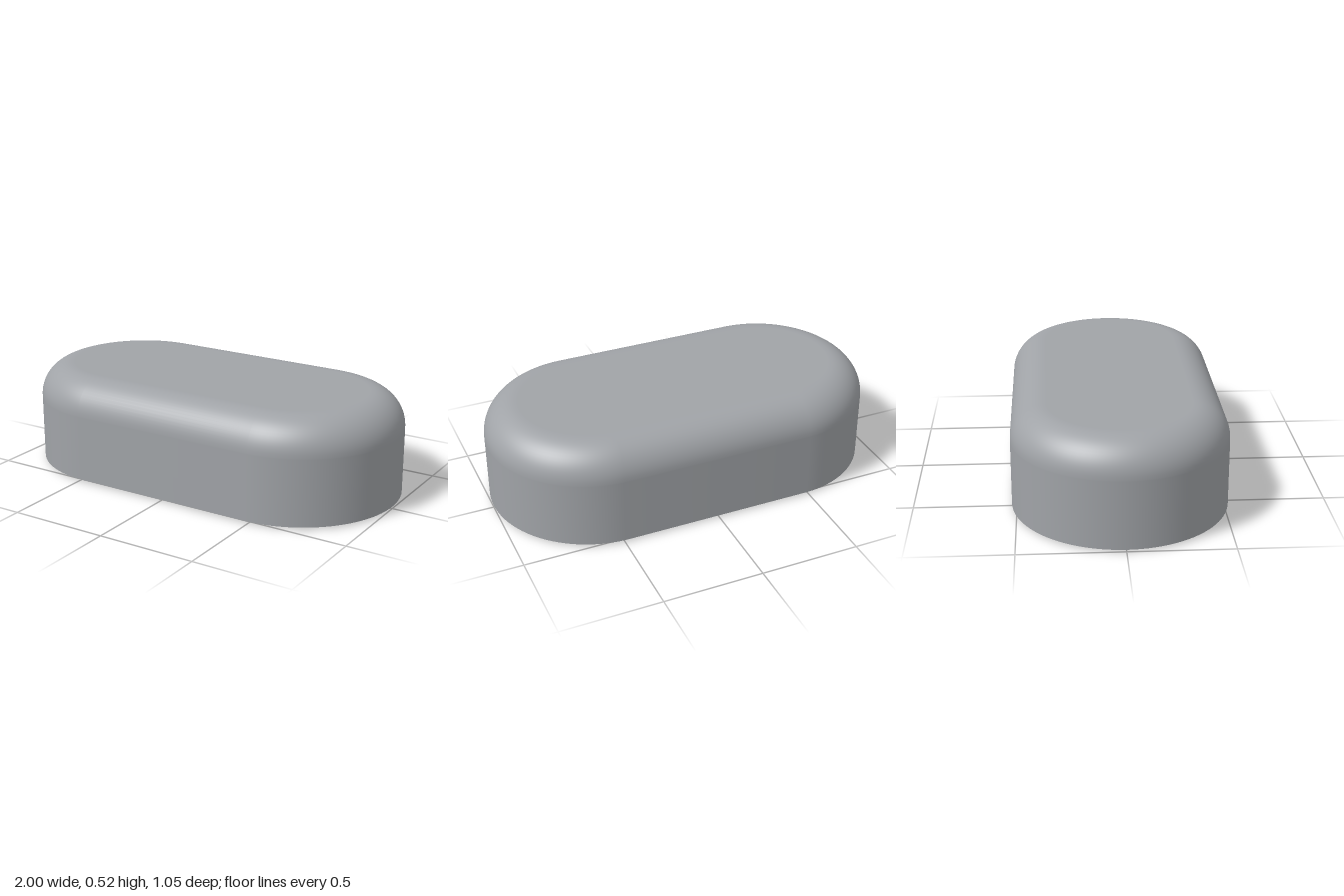
import * as THREE from 'three';

const HALF = 0.475;   // half length of the straight sides
const BASE = 0.01;    // height of the underside
const SEG = 98;       // odd half count keeps a straight run on both sides

const mat = (name, color, side = THREE.FrontSide) => {
  const m = new THREE.MeshStandardMaterial({ color, side });
  m.name = name;
  return m;
};

// Lathe pulled apart along x, giving a pill-shaped sweep of the profile
function pill(profile) {
  const pts = profile.map(([r, y]) => new THREE.Vector2(r, y));
  const start = Math.PI / SEG;
  const geo = new THREE.LatheGeometry(pts, SEG, start, Math.PI * 2);
  const pos = geo.attributes.position;
  for (let k = 0; k < pos.count; k++) {
    const phi = start + Math.floor(k / pts.length) * Math.PI * 2 / SEG;
    pos.setX(k, pos.getX(k) + Math.sign(Math.sin(phi)) * HALF);
  }
  return geo;
}

// Pill outline in the x-z plane
function pillShape(r) {
  const s = new THREE.Shape();
  s.absarc(HALF, 0, r, -Math.PI / 2, Math.PI / 2);
  s.absarc(-HALF, 0, r, Math.PI / 2, Math.PI * 1.5);
  s.closePath();
  return s;
}

// Window recess outline: straight sides with bowed ends
function windowOutline(Type) {
  const s = new Type();
  s.absellipse(0.638, 0.205, 0.14, 0.09, 0, Math.PI);
  s.absellipse(0.638, -0.205, 0.14, 0.09, Math.PI, Math.PI * 2);
  s.closePath();
  return s;
}

export function createModel() {
  const group = new THREE.Group();
  const grey = mat('bodyGrey', 0xa0a3a7);
  const greyInner = grey;
  const gold = mat('contactGold', 0xbf8038);
  const lensMat = mat('lensDark', 0x363b36);
  const black = mat('recessBlack', 0x1c2020, THREE.DoubleSide);

  const add = (name, geo, material, x = 0, y = 0, z = 0) => {
    const mesh = new THREE.Mesh(geo, material);
    mesh.name = name;
    mesh.position.set(x, y, z);
    group.add(mesh);
    return mesh;
  };

  // Shell: straight wall, rounded shoulder, flat top
  const R = 0.525, F = 0.17, TOP = 0.52;
  const profile = [[R, BASE], [R, TOP - F - 0.005]];
  for (let i = 0; i <= 16; i++) {
    const a = i / 16 * Math.PI / 2;
    profile.push([R - F + F * Math.cos(a), TOP - F + F * Math.sin(a)]);
  }
  profile.push([R - F - 0.005, TOP], [0, TOP]);
  add('shell', pill(profile), grey);

  // Bottom rim and the narrow groove around the base plate
  const steps = [[0.455, BASE], [0.455, 0.02], [0.48, 0.02], [0.48, BASE], [R, BASE]];
  for (let i = 0; i < steps.length - 1; i++) {
    add('bottomRim', pill([steps[i], steps[i + 1]]), grey);
  }

  // Base plate with openings for the contacts and the window
  const contacts = [[0.21, 0], [0, 0], [-0.21, 0], [-0.355, 0.214], [-0.355, -0.214]];
  const plate = pillShape(0.455);
  const hr = 0.055, depth = 0.03;
  for (const [x, z] of contacts) {
    const hole = new THREE.Path();
    hole.absarc(x, z, hr, 0, Math.PI * 2, true);
    plate.holes.push(hole);
  }
  plate.holes.push(windowOutline(THREE.Path));
  add('basePlate', new THREE.ShapeGeometry(plate, 32).rotateX(Math.PI / 2), grey, 0, BASE);

  // Sunken contacts: inward-facing wall and gold floor
  const wall = new THREE.CylinderGeometry(hr, hr, depth, 32, 1, true);
  wall.scale(-1, 1, 1);   // mirrored so the faces turn inward
  const wn = wall.attributes.normal;
  for (let i = 0; i < wn.count; i++) wn.setXYZ(i, -wn.getX(i), 0, -wn.getZ(i));
  const floor = new THREE.CircleGeometry(hr, 32).rotateX(Math.PI / 2);
  for (const [x, z] of contacts) {
    add('contactWall', wall, greyInner, x, BASE + depth / 2, z);
    add('contactPad', floor, gold, x, BASE + depth, z);
  }

  // Window recess: dark wall and floor
  const recess = new THREE.ExtrudeGeometry(windowOutline(THREE.Shape), {
    depth: 0.01, bevelEnabled: false, curveSegments: 24,
  }).rotateX(Math.PI / 2);
  add('windowRecess', recess, black, 0, BASE + 0.012);

  // Slightly raised window plate
  add('windowPlate', new THREE.BoxGeometry(0.28, 0.014, 0.41), lensMat, 0.638, 0.007, 0);

  return group;
}
